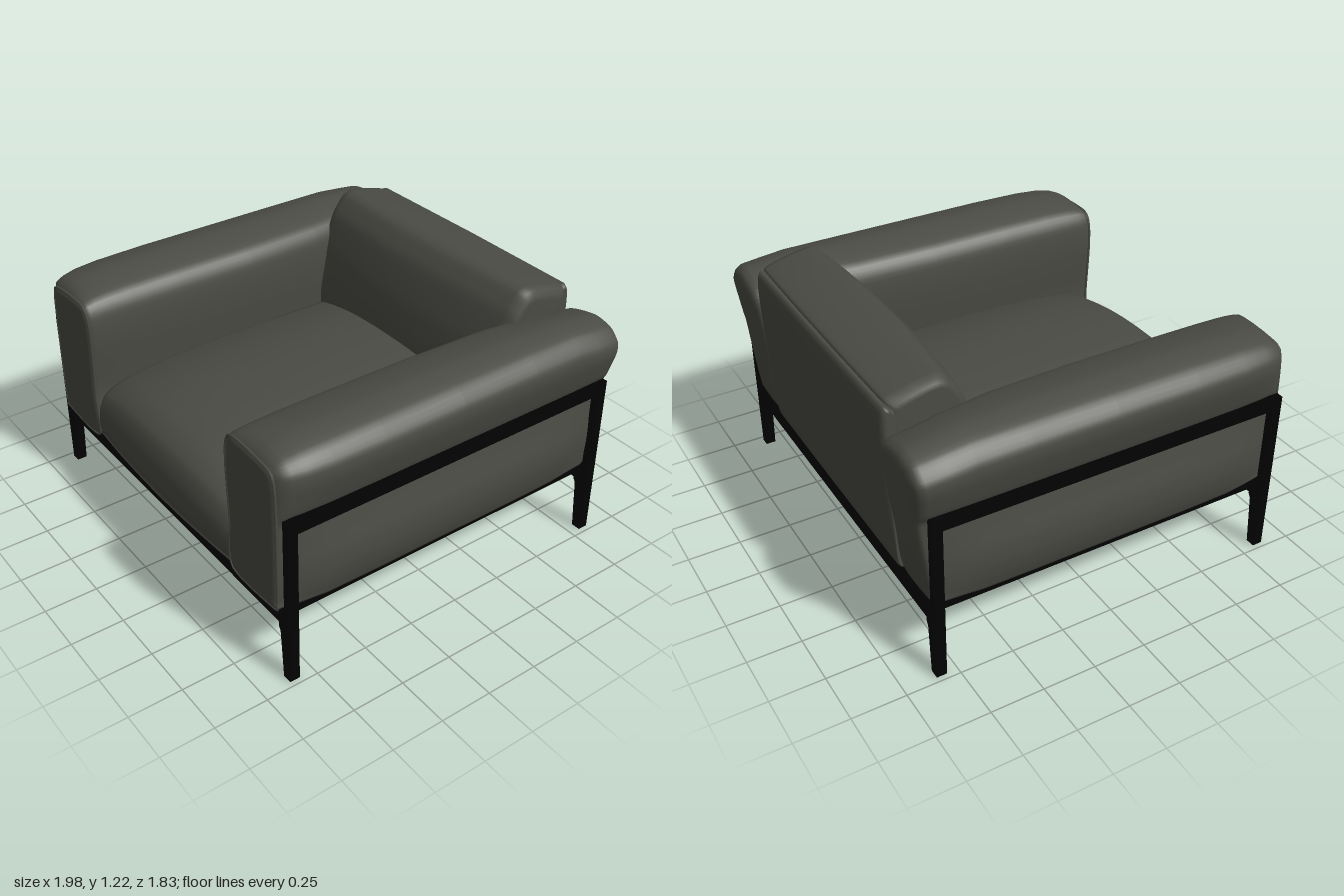
import * as THREE from 'three';

const fabric = new THREE.MeshStandardMaterial({ color: 0x4b4b45 });
fabric.name = 'charcoal upholstery';
const wood = new THREE.MeshStandardMaterial({ color: 0x020202 });
wood.name = 'black frame';

const RING = 72;

// Closed smooth 2D outline through a few points
function outline(points) {
  const curve = new THREE.CatmullRomCurve3(
    points.map(([u, v]) => new THREE.Vector3(u, v, 0)), true, 'catmullrom', 0.4);
  return curve.getPoints(RING).slice(0, RING);
}

// Pull an outline inwards by a distance, to round off the end of a cushion
function inset(ring, d) {
  const box = new THREE.Box3().setFromPoints(ring);
  const c = box.getCenter(new THREE.Vector3());
  const s = box.getSize(new THREE.Vector3());
  return ring.map(p => new THREE.Vector3(
    c.x + (p.x - c.x) * (1 - 2 * d / s.x),
    c.y + (p.y - c.y) * (1 - 2 * d / s.y), 0));
}

// Skin a series of rings and close both ends, always facing outwards
function loft(rings) {
  const n = rings[0].length, pts = rings.flat(), index = [];
  for (let i = 0; i < rings.length - 1; i++) {
    for (let j = 0; j < n; j++) {
      const k = (j + 1) % n, a = i * n, b = a + n;
      index.push(a + j, a + k, b + k, a + j, b + k, b + j);
    }
  }
  [0, rings.length - 1].forEach((r, end) => {
    const c = new THREE.Vector3();
    rings[r].forEach(p => c.addScaledVector(p, 1 / n));
    const m = pts.push(c) - 1;
    for (let j = 0; j < n; j++) {
      const k = (j + 1) % n;
      index.push(m, r * n + (end ? j : k), r * n + (end ? k : j));
    }
  });
  let volume = 0;
  const cross = new THREE.Vector3();
  for (let i = 0; i < index.length; i += 3) {
    volume += pts[index[i]].dot(cross.crossVectors(pts[index[i + 1]], pts[index[i + 2]]));
  }
  if (volume < 0) index.reverse();
  const g = new THREE.BufferGeometry().setFromPoints(pts);
  g.setIndex(index);
  g.computeVertexNormals();
  return g;
}

export function createModel() {
  const model = new THREE.Group();
  model.name = 'armchair';
  const add = (name, geometry, material) => {
    const mesh = new THREE.Mesh(geometry, material);
    mesh.name = name;
    model.add(mesh);
    return mesh;
  };
  const box = (name, x0, x1, y0, y1, z0, z1) =>
    add(name, new THREE.BoxGeometry(x1 - x0, y1 - y0, z1 - z0), wood)
      .position.set((x0 + x1) / 2, (y0 + y1) / 2, (z0 + z1) / 2);
  // Flat wooden piece cut from an outline in x and y
  const plank = (name, points, s, z, depth) => {
    const shape = new THREE.Shape(points.map(([x, y]) => new THREE.Vector2(s * x, y)));
    add(name, new THREE.ExtrudeGeometry(shape, { depth, bevelEnabled: false }), wood).position.z = z;
  };
  const sides = [[1, 'left'], [-1, 'right']];

  // Base platform, set in from the sides
  box('platform', -0.885, 0.885, 0.27, 0.35, -0.84, 0.86);
  box('frontRail', -0.92, 0.92, 0.27, 0.355, 0.82, 0.862);
  box('backRail', -0.92, 0.92, 0.27, 0.355, -0.845, -0.80);

  // Corner posts: tapered foot, wide knee, thin upright
  const post = [[0.93, 0], [0.975, 0], [0.975, 0.82], [0.94, 0.82], [0.94, 0.36],
    [0.9, 0.355], [0.9, 0.26], [0.912, 0.24]];
  const middleLeg = [[0.372, 0], [0.43, 0], [0.44, 0.28], [0.365, 0.28]];
  for (const [s, side] of sides) {
    plank(side + 'FrontPost', post, s, 0.822, 0.048);
    plank(side + 'BackPost', post, s, -0.85, 0.048);
    plank(side + 'MiddleLeg', middleLeg, s, -0.02, 0.062);
    const [a, b] = [s * 0.94, s * 0.975].sort((p, q) => p - q);
    box(side + 'TopRail', a, b, 0.76, 0.82, -0.85, 0.87);
  }

  // Arms: swollen profile along the length, flatter panel at the front
  const full = [[0.585, 0.35], [0.575, 0.6], [0.56, 0.85], [0.57, 1.0], [0.615, 1.07],
    [0.71, 1.1], [0.81, 1.112], [0.925, 1.087], [0.985, 1.025], [0.99, 0.955], [0.96, 0.84],
    [0.938, 0.78], [0.952, 0.68], [0.972, 0.57], [0.972, 0.48], [0.95, 0.38], [0.9, 0.33]];
  const panel = [[0.59, 0.362], [0.585, 0.6], [0.572, 0.85], [0.578, 0.98], [0.61, 1.04],
    [0.7, 1.048], [0.8, 1.042], [0.87, 1.033], [0.902, 1.015], [0.915, 0.95], [0.92, 0.83],
    [0.92, 0.78], [0.92, 0.68], [0.92, 0.57], [0.92, 0.48], [0.915, 0.39], [0.895, 0.358]];
  // z, panel share of the upper part, panel share of the lower part, inset
  const stations = [
    [-0.914, 0.3, 0.8, 0.05], [-0.91, 0.2, 0.7, 0.025], [-0.897, 0.1, 0.65, 0.01],
    [-0.87, 0.03, 0.6, 0], [-0.77, 0, 0.4, 0], [-0.65, 0, 0.1, 0], [-0.4, 0, 0, 0],
    [0, 0, 0, 0], [0.4, 0, 0, 0], [0.65, 0.07, 0.1, 0], [0.77, 0.2, 0.5, 0],
    [0.83, 0.38, 0.8, 0], [0.865, 0.6, 1, 0], [0.88, 0.95, 1, 0],
    [0.89, 1, 1, 0.008], [0.894, 1, 1, 0.025]];
  for (const [s, side] of sides) {
    const rings = stations.map(([z, hi, lo, d]) => {
      const mix = full.map(([x, y], i) => {
        const t = y > 0.83 ? hi : lo;
        return [x + (panel[i][0] - x) * t, y + (panel[i][1] - y) * t];
      });
      const back = THREE.MathUtils.smoothstep(-z, 0.2, 0.9);
      const drop = 0.025 * THREE.MathUtils.smoothstep(-z, 0.6, 0.92);
      return inset(outline(mix), d).map(p => new THREE.Vector3(
        s * (p.x + 0.08 * back * Math.max(0, (0.95 - p.x) / 0.4)),
        p.y - drop * THREE.MathUtils.smoothstep(p.y, 0.85, 1.1),
        z + Math.max(0, 1.02 - p.y) * 0.11 * back));
    });
    add(side + 'Arm', loft(rings), fabric);

    // Piping around the arm's front panel
    const path = new THREE.CatmullRomCurve3(
      panel.map(([x, y]) => new THREE.Vector3(s * x, y, 0.885)), true, 'catmullrom', 0.4);
    add(side + 'ArmPiping', new THREE.TubeGeometry(path, 90, 0.007, 6, true), fabric);
  }

  // Seat cushion: crowned in the middle, rolled front edge (profile is z, y)
  const seat = outline([[-0.5, 0.36], [0.2, 0.35], [0.84, 0.35], [0.895, 0.38], [0.912, 0.45],
    [0.9, 0.55], [0.86, 0.64], [0.76, 0.7], [0.55, 0.738], [0.2, 0.757], [-0.15, 0.755],
    [-0.5, 0.735], [-0.54, 0.6]]);
  const seatRings = [];
  for (let i = 0; i <= 24; i++) {
    const u = -1 + i / 12;
    seatRings.push(seat.map(p => new THREE.Vector3(u * 0.605,
      0.355 + (p.y - 0.355) * (1 - 0.25 * Math.pow(Math.abs(u), 2.4)),
      p.x - (p.x > 0 ? 0.03 * u * u * p.x : 0))));
  }
  add('seatCushion', loft(seatRings), fabric);

  // Back cushion and its rear panel, lofted across the width with soft ends
  const across = (profile, ends, bow) => loft(ends.map(([x, d]) =>
    inset(profile, d).map(p => new THREE.Vector3(
      x + 0.02, p.y, p.x - bow * x * x * THREE.MathUtils.smoothstep(p.x, -0.8, -0.5)))));
  const cushion = outline([[-0.42, 0.5], [-0.39, 0.68], [-0.395, 0.78], [-0.43, 0.95],
    [-0.485, 1.11], [-0.525, 1.17], [-0.565, 1.21], [-0.62, 1.223], [-0.74, 1.205],
    [-0.84, 1.178], [-0.865, 1.15], [-0.865, 1.0], [-0.85, 0.7], [-0.82, 0.5], [-0.6, 0.46]]);
  add('backCushion', across(cushion, [[-0.67, 0.05], [-0.665, 0.028], [-0.65, 0.012],
    [-0.61, 0.006], [-0.4, 0.003], [-0.2, 0], [0, 0], [0.2, 0], [0.4, 0.003], [0.61, 0.008],
    [0.65, 0.02], [0.665, 0.04], [0.67, 0.065]], 0.07), fabric);
  const rear = outline([[-0.8, 0.36], [-0.8, 0.75], [-0.82, 1.1], [-0.845, 1.15],
    [-0.875, 1.16], [-0.892, 1.13], [-0.897, 1.05], [-0.89, 0.85], [-0.875, 0.6],
    [-0.86, 0.42], [-0.845, 0.355]]);
  add('rearPanel', across(rear, [[-0.68, 0.025], [-0.675, 0.012], [-0.655, 0.003], [0, 0],
    [0.615, 0.003], [0.635, 0.012], [0.64, 0.025]], 0), fabric);

  return model;
}
